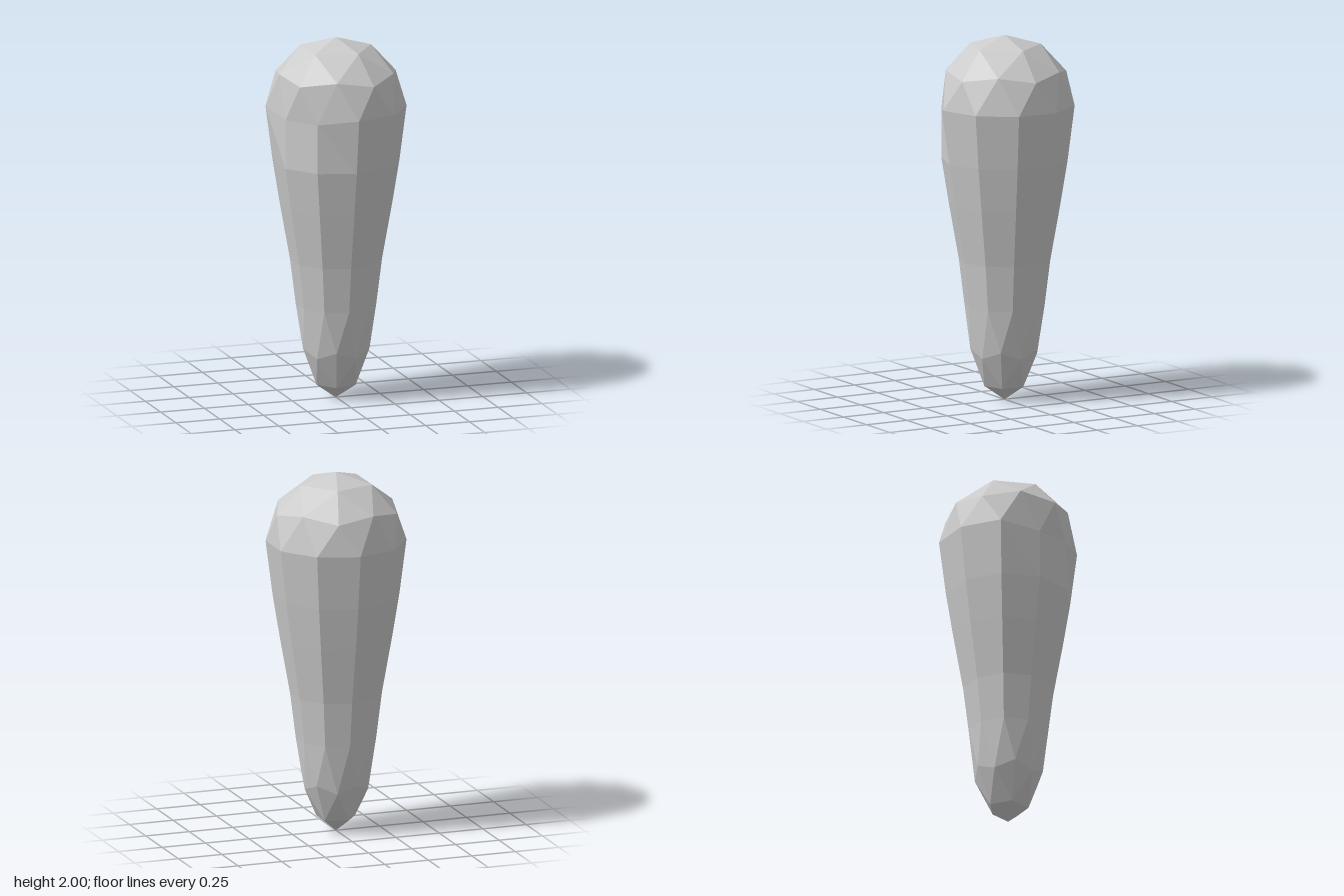
import * as THREE from 'three';

// Point on a ring around the vertical axis; step counts 36 degree turns from +x towards +z
const at = (step, radius, y) => {
  const a = step * Math.PI / 5;
  return new THREE.Vector3(radius * Math.cos(a), y, radius * Math.sin(a));
};
const ten = (fn) => Array.from({ length: 10 }, (_, j) => fn(j));

// Ten-sided ring with corners between the whole steps
const bodyRing = (radius, y) => ten((j) => at(j + 0.5, radius, y));

export function createModel() {
  const positions = [];
  const tri = (a, b, c) => [a, b, c].forEach((p) => positions.push(p.x, p.y, p.z));

  // Faceted half icosphere joined to an equator ring; dir is 1 for top, -1 for bottom
  function cap(equator, radius, centerY, height, dir, shift) {
    const face = (a, b, c) => (dir > 0 ? tri(a, c, b) : tri(a, b, c));
    const Y = (f) => centerY + dir * height * f;
    const apex = at(0, 0, Y(1));
    const inner = (k) => at(2 * k + shift, 0.526 * radius, Y(0.851));
    const outer = ten((j) => (j + shift) % 2 === 0
      ? at(j, 0.894 * radius, Y(0.447))
      : at(j, 0.851 * radius, Y(0.526)));
    const o = (j) => outer[(j + 10) % 10];
    for (let k = 0; k < 5; k++) {
      const j = 2 * k + shift, a = inner(k), b = inner(k + 1);
      face(apex, a, b);
      face(a, o(j), o(j + 1));
      face(a, o(j + 1), b);
      face(a, o(j - 1), o(j));
    }
    for (let j = 0; j < 10; j++) {
      face(o(j), equator[j], o(j + 1));
      face(equator[j], equator[(j + 1) % 10], o(j + 1));
    }
  }

  // Tapering body rings, top to bottom
  const rings = [[0.38, 1.62], [0.342, 1.32], [0.303, 1.08], [0.248, 0.77], [0.217, 0.52]]
    .map(([r, y]) => bodyRing(r, y));

  // Dented shoulder: two corners pressed inwards
  for (const j of [3, 4]) rings[0][j] = at(j + 0.5, 0.342, 1.59);

  for (let i = 0; i < rings.length - 1; i++) {
    for (let j = 0; j < 10; j++) {
      const n = (j + 1) % 10, up = rings[i], low = rings[i + 1];
      tri(up[j], up[n], low[j]);
      tri(up[n], low[n], low[j]);
    }
  }

  // Rounded head and stretched tip
  cap(rings[0], 0.38, 1.62, 0.38, 1, 0);
  cap(rings[4], 0.211, 0.52, 0.52, -1, 1);

  const geometry = new THREE.BufferGeometry();
  geometry.setAttribute('position', new THREE.Float32BufferAttribute(positions, 3));
  geometry.computeVertexNormals();
  const mesh = new THREE.Mesh(geometry,
    new THREE.MeshStandardMaterial({ color: 0xcccccc, flatShading: true }));
  mesh.name = 'taperedBody';

  const group = new THREE.Group();
  group.name = 'facetedClub';
  group.add(mesh);
  return group;
}
